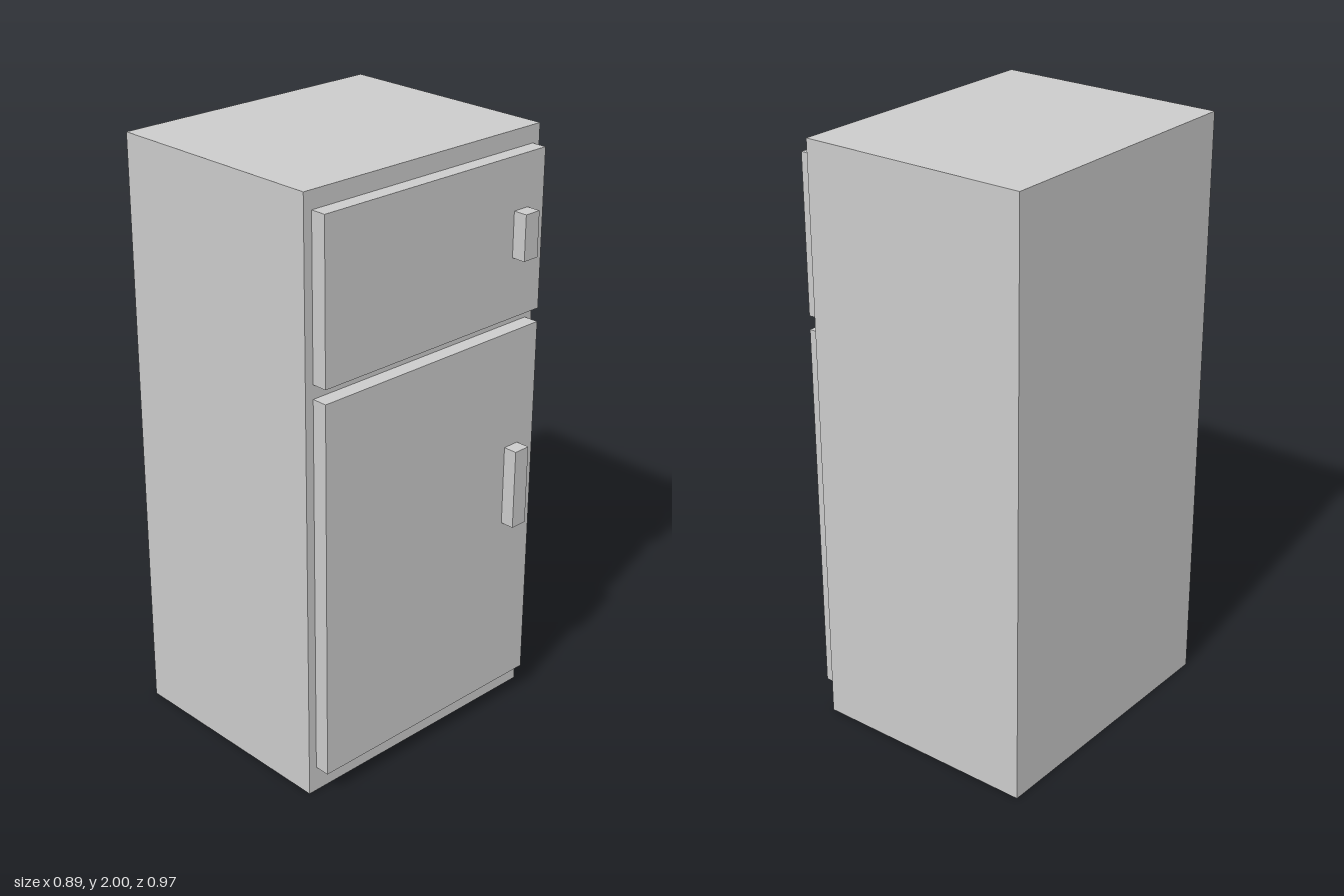
import * as THREE from 'three';

const material = new THREE.MeshStandardMaterial({ color: 0xcccccc, flatShading: true });

// Box given by its extents along each axis
function block(name, [x0, x1], [y0, y1], [z0, z1]) {
  const mesh = new THREE.Mesh(new THREE.BoxGeometry(x1 - x0, y1 - y0, z1 - z0), material);
  mesh.position.set((x0 + x1) / 2, (y0 + y1) / 2, (z0 + z1) / 2);
  mesh.name = name;
  return mesh;
}

export function createModel() {
  const fridge = new THREE.Group();
  fridge.name = 'refrigerator';

  // Cabinet
  fridge.add(block('cabinet', [-0.443, 0.343], [0, 2], [-0.486, 0.486]));

  // Doors on the +x side, each with an upright handle
  const doors = [
    { name: 'freezerDoor', door: [1.418, 1.942], handle: [1.618, 1.768] },
    { name: 'fridgeDoor', door: [0.088, 1.372], handle: [0.698, 0.972] },
  ];
  for (const { name, door, handle } of doors) {
    const group = new THREE.Group();
    group.name = name;
    group.add(
      block(name + 'Panel', [0.343, 0.395], door, [-0.456, 0.456]),
      block(name + 'Handle', [0.395, 0.443], handle, [-0.385, -0.325]),
    );
    fridge.add(group);
  }
  return fridge;
}
